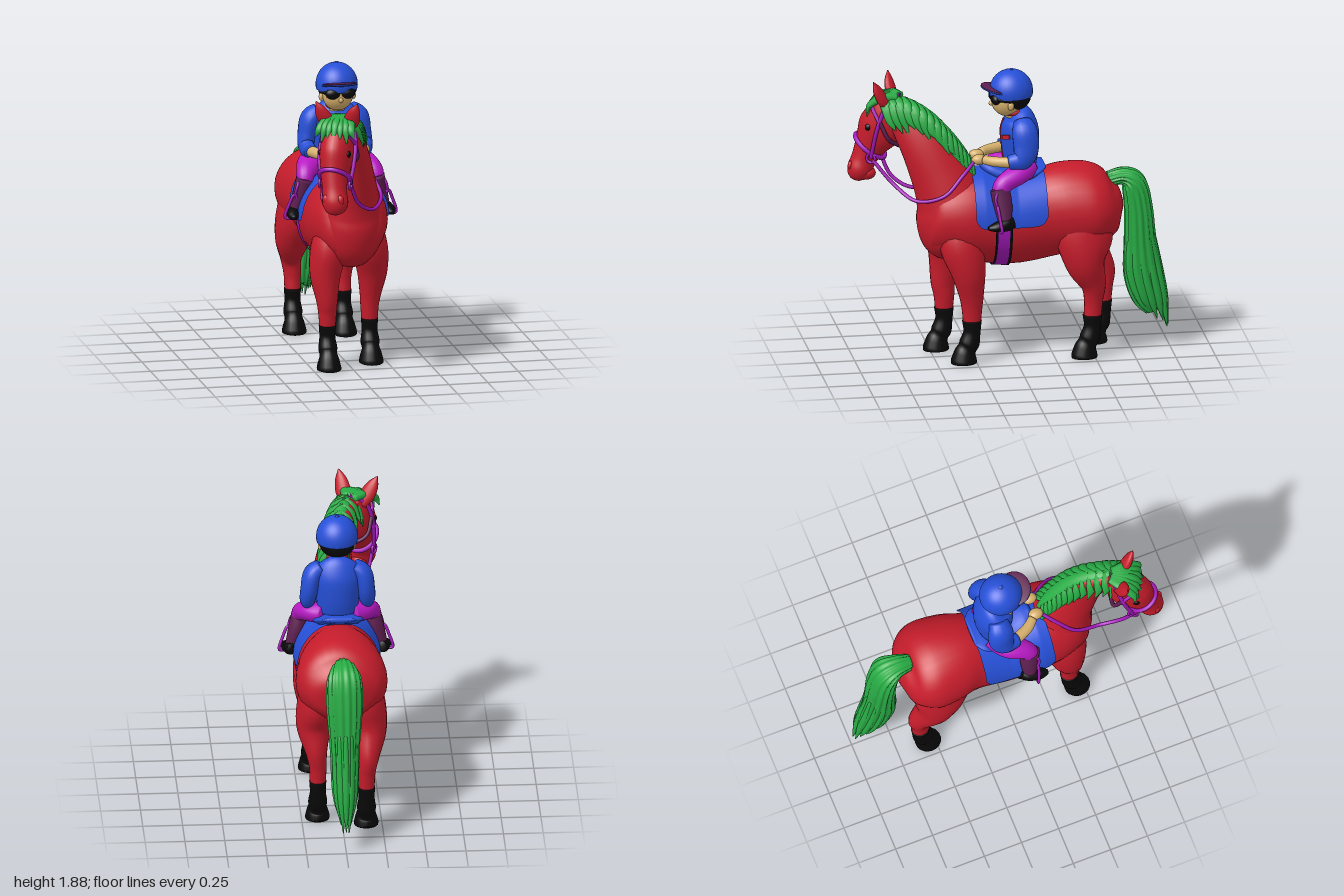
import * as THREE from 'three';
import { ParametricGeometry } from 'three/addons/geometries/ParametricGeometry.js';

const V = (a) => new THREE.Vector3(a[0], a[1], a[2]);
const mat = (name, color, side = THREE.FrontSide) => {
  const m = new THREE.MeshStandardMaterial({ color, side });
  m.name = name;
  return m;
};
const M = {
  coat: mat('red coat', 0xc51c2b),
  hair: mat('green hair', 0x28ac45),
  black: mat('black', 0x080808, THREE.DoubleSide),
  blue: mat('blue cloth', 0x2650d8, THREE.DoubleSide),
  strap: mat('purple strap', 0xa419ba, THREE.DoubleSide),
  pants: mat('magenta cloth', 0xb81ac4),
  plum: mat('plum leather', 0x5e1f50),
  skin: mat('tan skin', 0xd6b06c),
};

// Smooth skin over elliptical sections [x, y, z, half width, half depth]
function loft(pts, { seg = 18, steps = pts.length * 5, ripple = () => 1 } = {}) {
  const path = new THREE.CatmullRomCurve3(pts.map(V), false, 'catmullrom', 0.5);
  const size = new THREE.CatmullRomCurve3(pts.map((p) => new THREE.Vector3(p[3], p[4], 0)), false, 'catmullrom', 0.5);
  const pos = [], idx = [];
  for (let i = 0; i <= steps; i++) {
    const t = i / steps, c = path.getPoint(t), r = size.getPoint(t), T = path.getTangent(t);
    const S = new THREE.Vector3(1, 0, 0).addScaledVector(T, -T.x).normalize();
    const U = new THREE.Vector3().crossVectors(T, S);
    for (let j = 0; j < seg; j++) {
      const a = (j / seg) * Math.PI * 2, k = ripple(a, t);
      const p = c.clone().addScaledVector(S, Math.cos(a) * Math.max(r.x, 0.002) * k)
        .addScaledVector(U, Math.sin(a) * Math.max(r.y, 0.002) * k);
      pos.push(p.x, p.y, p.z);
      if (i < steps) {
        const a0 = i * seg + j, b0 = i * seg + ((j + 1) % seg);
        idx.push(a0, b0, a0 + seg, b0, b0 + seg, a0 + seg);
      }
    }
  }
  const n = (steps + 1) * seg, first = path.getPoint(0), last = path.getPoint(1);
  pos.push(first.x, first.y, first.z, last.x, last.y, last.z);
  for (let j = 0; j < seg; j++) {
    const k = (j + 1) % seg;
    idx.push(n, k, j, n + 1, steps * seg + j, steps * seg + k);
  }
  const g = new THREE.BufferGeometry();
  g.setAttribute('position', new THREE.Float32BufferAttribute(pos, 3));
  g.setIndex(idx);
  g.computeVertexNormals();
  return g;
}
const tube = (pts, r = 0.012, closed = false) =>
  new THREE.TubeGeometry(new THREE.CatmullRomCurve3(pts.map(V), closed), pts.length * 8, r, 8, closed);
const flip = (pts, s) => pts.map(([x, ...rest]) => [x * s, ...rest]);

function add(parent, name, geo, material) {
  const m = new THREE.Mesh(geo, material);
  m.name = name;
  parent.add(m);
  return m;
}
function ball(parent, name, material, p, s) {
  const m = add(parent, name, new THREE.SphereGeometry(1, 24, 16), material);
  m.position.set(...p);
  m.scale.set(...s);
  return m;
}

// Barrel sections: z, belly height, back height, half width
const BARREL = [[0.57, 0.84, 0.98, 0.05], [0.54, 0.75, 1.06, 0.15], [0.48, 0.68, 1.13, 0.205], [0.35, 0.65, 1.2, 0.252],
  [0.2, 0.62, 1.21, 0.262], [0, 0.6, 1.17, 0.252], [-0.2, 0.63, 1.2, 0.238], [-0.35, 0.66, 1.235, 0.274],
  [-0.5, 0.68, 1.22, 0.287], [-0.6, 0.74, 1.16, 0.245], [-0.66, 0.82, 1.09, 0.17], [-0.695, 0.91, 1.0, 0.06]];
function barrelAt(z) {
  const i = BARREL.findIndex((b, k) => z <= b[0] && z >= BARREL[k + 1][0]);
  const a = BARREL[i], b = BARREL[i + 1], f = (a[0] - z) / (a[0] - b[0]);
  const [lo, hi, w] = [1, 2, 3].map((k) => a[k] + (b[k] - a[k]) * f);
  return { y: (lo + hi) / 2, h: (hi - lo) / 2, w };
}
// Cloth following the barrel between two angles measured from the top
const wrap = (z0, z1, off, from, to) => new ParametricGeometry((u, v, out) => {
  const z = z0 + (z1 - z0) * u, b = barrelAt(z), a0 = from(u, b), a = a0 + (to(u, b) - a0) * v;
  out.set((b.w + off) * Math.sin(a), b.y + (b.h + off) * Math.cos(a), z);
}, 24, 40);

function addHorse(g) {
  add(g, 'body', loft(BARREL.map(([z, lo, hi, w]) => [0, (lo + hi) / 2, z, w, (hi - lo) / 2]), { seg: 32 }), M.coat);
  // Neck running down into a full chest
  add(g, 'neck', loft([[0, 0.7, 0.32, 0.13, 0.17], [0, 0.8, 0.345, 0.2, 0.235], [0, 0.92, 0.36, 0.215, 0.25], [0, 1.04, 0.385, 0.2, 0.228],
    [0, 1.18, 0.44, 0.158, 0.2], [-0.015, 1.38, 0.54, 0.108, 0.165], [-0.065, 1.53, 0.64, 0.085, 0.13], [-0.13, 1.61, 0.74, 0.07, 0.09]], { seg: 32 }), M.coat);

  // Legs, standing slightly staggered
  const front = [[0.09, 0.92, 0.36, 0.1, 0.12], [0.135, 0.76, 0.34, 0.115, 0.14], [0.16, 0.6, 0.305, 0.098, 0.11],
    [0.155, 0.45, 0.285, 0.07, 0.08], [0.15, 0.36, 0.28, 0.058, 0.066], [0.15, 0.26, 0.28, 0.05, 0.056]];
  const hind = [[0.1, 1.02, -0.43, 0.12, 0.16], [0.15, 0.8, -0.43, 0.125, 0.185], [0.17, 0.63, -0.435, 0.112, 0.13],
    [0.16, 0.48, -0.488, 0.07, 0.082], [0.15, 0.37, -0.492, 0.055, 0.06], [0.15, 0.26, -0.485, 0.05, 0.056]];
  const sock = [[0.15, 0.275, 0, 0.054, 0.062], [0.15, 0.2, 0, 0.05, 0.054], [0.15, 0.13, 0.015, 0.06, 0.064],
    [0.15, 0.095, 0.03, 0.055, 0.06], [0.15, 0.06, 0.044, 0.066, 0.07], [0.15, 0.015, 0.05, 0.077, 0.082], [0.15, 0, 0.05, 0.076, 0.081]];
  for (const [name, leg, s, dz] of [['frontLeg', front, 1, 0], ['frontLeg', front, -1, 0.13], ['hindLeg', hind, 1, 0], ['hindLeg', hind, -1, -0.11]]) {
    const shift = (p) => [p[0], p[1], p[2] + dz * Math.min(1, Math.max(0, (0.9 - p[1]) / 0.43)), p[3], p[4]];
    add(g, name, loft(flip(leg.map(shift), s)), M.coat);
    const z = leg[5][2];
    add(g, name + 'Sock', loft(flip(sock.map((p) => shift([p[0], p[1], p[2] + z, p[3], p[4]])), s)), M.black);
  }

  // Tail: grooved mass ending in loose locks, longest at the back
  add(g, 'tail', loft([[0, 1.11, -0.61, 0.05, 0.05], [0, 1.13, -0.7, 0.075, 0.052], [0, 1.08, -0.77, 0.105, 0.075],
    [0, 0.92, -0.8, 0.108, 0.085], [0, 0.7, -0.812, 0.092, 0.098], [0, 0.5, -0.83, 0.082, 0.118], [0, 0.34, -0.865, 0.07, 0.105],
    [0, 0.24, -0.905, 0.035, 0.06]], { seg: 72, ripple: (a, t) => 1 + 0.07 * Math.sin(a * 14 + t * 3) }), M.hair);
  for (let i = 0; i < 12; i++) {
    const a = (i / 12) * Math.PI * 2, c = Math.cos(a), s = Math.sin(a);
    add(g, 'tailLock', loft([[c * 0.065, 0.75, -0.812 + s * 0.075, 0.02, 0.02], [c * 0.064, 0.52, -0.83 + s * 0.1, 0.026, 0.026],
      [c * 0.054, 0.33, -0.875 + s * 0.088, 0.024, 0.026], [c * 0.035, 0.19 + s * 0.07 + (i % 2) * 0.02, -0.915 + s * 0.075, 0.003, 0.003]], { seg: 8 }), M.hair);
  }

  // Mane: crest with overlapping locks on both sides, fuller on the left
  const crest = [[-0.125, 1.65, 0.78, 0.04, 0.03], [-0.08, 1.655, 0.66, 0.045, 0.03], [-0.03, 1.585, 0.53, 0.045, 0.03],
    [-0.005, 1.475, 0.42, 0.045, 0.03], [0, 1.36, 0.33, 0.04, 0.028], [0, 1.26, 0.26, 0.015, 0.015]];
  add(g, 'maneCrest', loft(crest), M.hair);
  const line = new THREE.CatmullRomCurve3(crest.map(V));
  for (let i = 0; i < 15; i++) for (const s of [1, -1]) {
    const p = line.getPoint(i / 15), k = (1 - 0.35 * (i / 15)) * (s > 0 ? 1.12 : 0.95), d = (i % 3) * 0.02;
    add(g, 'maneLock', loft([[p.x - s * 0.01, p.y + 0.02, p.z + 0.03, 0.018, 0.03], [p.x + s * 0.06 * k, p.y - 0.012, p.z + 0.008, 0.022, 0.038],
      [p.x + s * 0.1 * k, p.y - 0.08 * k, p.z - 0.008, 0.014, 0.028], [p.x + s * 0.118 * k, p.y - (0.135 + d) * k, p.z - 0.04, 0.003, 0.003]],
    { seg: 8, steps: 10 }), M.hair);
  }
}

function addHead(g) {
  const h = new THREE.Group();
  h.name = 'head';
  h.position.set(-0.13, 1.6, 0.72);
  h.rotation.y = -0.5;
  g.add(h);
  add(h, 'skull', loft([[0, 0.07, -0.02, 0.05, 0.05], [0, 0, 0.04, 0.095, 0.11], [0, -0.13, 0.1, 0.105, 0.145], [0.005, -0.25, 0.165, 0.085, 0.102],
    [0.017, -0.34, 0.205, 0.076, 0.08], [0.027, -0.41, 0.228, 0.082, 0.08], [0.028, -0.46, 0.238, 0.06, 0.06], [0.028, -0.482, 0.24, 0.025, 0.025]], { seg: 28 }), M.coat);
  ball(h, 'chin', M.coat, [0.026, -0.43, 0.19], [0.055, 0.045, 0.065]);
  for (const s of [1, -1]) {
    add(h, 'ear', loft(flip([[0.062, 0.02, 0.03, 0.03, 0.03], [0.085, 0.085, 0.06, 0.05, 0.032], [0.112, 0.15, 0.085, 0.038, 0.024],
      [0.135, 0.205, 0.1, 0.003, 0.003]], s)), M.coat);
    ball(h, 'eye', M.black, [s * 0.09, -0.11, 0.15], [0.016, 0.022, 0.022]);
    ball(h, 'nostril', M.coat, [0.027 + s * 0.045, -0.38, 0.273], [0.026, 0.032, 0.018]);
    add(h, 'cheekStrap', tube(flip([[0.095, -0.31, 0.13], [0.112, -0.18, 0.1], [0.114, -0.07, 0.07], [0.085, 0.04, 0.03], [0, 0.1, -0.02]], s), 0.013), M.strap);
    add(h, 'browBand', tube(flip([[0.114, -0.06, 0.07], [0.075, 0.01, 0.125], [0, 0.045, 0.142]], s)), M.strap);
    add(h, 'throatStrap', tube(flip([[0.114, -0.06, 0.065], [0.104, -0.17, 0.01], [0, -0.24, -0.03]], s), 0.013), M.plum);
    const ring = add(h, 'bitRing', new THREE.TorusGeometry(0.028, 0.009, 8, 20), M.strap);
    ring.position.set(s * 0.098, -0.31, 0.13);
    ring.rotation.y = Math.PI / 2;
  }
  // Noseband tilted around the muzzle
  const band = [];
  for (let i = 0; i < 16; i++) {
    const a = (i / 16) * Math.PI * 2, k = Math.sin(a) * 0.112;
    band.push([0.005 + Math.cos(a) * 0.095, -0.255 + k * 0.6, 0.168 + k * 0.82]);
  }
  add(h, 'noseBand', tube(band, 0.015, true), M.strap);
  // Forelock lying over the forehead
  for (let i = -3; i <= 3; i++) {
    const x = i * 0.028;
    add(h, 'forelock', loft([[x * 0.3, 0.085, -0.02, 0.03, 0.025], [x * 0.8, 0.088, 0.06, 0.034, 0.026],
      [x * 1.2, 0.06 - Math.abs(i) * 0.006, 0.135, 0.028, 0.02], [x * 1.5, -0.04 + (i & 1) * 0.03, 0.19 - Math.abs(i) * 0.014, 0.004, 0.004]], { seg: 8 }), M.hair);
  }
  add(g, 'leftRein', tube([[-0.1, 1.28, 0.87], [-0.02, 1.13, 0.74], [0.1, 1.06, 0.62], [0.185, 1.11, 0.46], [0.14, 1.22, 0.34], [0.05, 1.3, 0.24]]), M.strap);
  add(g, 'rightRein', tube([[-0.27, 1.28, 0.8], [-0.23, 1.13, 0.73], [-0.19, 1.06, 0.6], [-0.19, 1.12, 0.44], [-0.14, 1.22, 0.34], [-0.05, 1.3, 0.24]]), M.strap);
}

function addTack(g) {
  // Pad hem drops to a set height with rounded corners
  const hem = (u, b) => Math.acos(Math.min(1, (0.905 + 0.06 * Math.pow(Math.abs(2 * u - 1), 10) - b.y) / (b.h + 0.02)));
  add(g, 'saddlePad', wrap(0.27, -0.19, 0.022, (u, b) => -hem(u, b), hem), M.blue);
  add(g, 'saddleSeat', loft([[0, 1.26, 0.2, 0.04, 0.02], [0, 1.235, 0.15, 0.1, 0.04], [0, 1.2, 0.05, 0.14, 0.05],
    [0, 1.2, -0.07, 0.16, 0.05], [0, 1.225, -0.15, 0.15, 0.03], [0, 1.245, -0.2, 0.1, 0.012]]), M.blue);
  const girth = (z0, z1) => wrap(z0, z1, 0.014, () => 1.4, () => Math.PI * 2 - 1.4);
  add(g, 'girth', girth(0.13, 0.055), M.strap);
  add(g, 'girthEdge', girth(0.145, 0.13), M.black);
  add(g, 'girthEdge', girth(0.055, 0.038), M.black);
  for (const s of [1, -1]) {
    add(g, 'stirrup', tube(flip([[0.25, 0.91, 0.13], [0.305, 0.905, 0.13], [0.355, 0.91, 0.12], [0.335, 0.99, 0.13], [0.3, 1.06, 0.14], [0.265, 0.99, 0.13]], s), 0.01, true), M.strap);
    add(g, 'stirrupLeather', tube(flip([[0.3, 1.05, 0.14], [0.285, 1.11, 0.15], [0.25, 1.18, 0.11]], s), 0.009), M.strap);
  }
}

function addRider(g) {
  add(g, 'jacket', loft([[0, 1.25, -0.05, 0.13, 0.1], [0, 1.35, -0.05, 0.135, 0.116], [0, 1.48, -0.045, 0.15, 0.12],
    [0, 1.56, -0.04, 0.125, 0.092], [0, 1.6, -0.02, 0.05, 0.05]], { seg: 28 }), M.blue);
  add(g, 'zip', tube([[0, 1.28, 0.058], [0, 1.4, 0.069], [0, 1.48, 0.075], [0, 1.55, 0.055]], 0.006), M.coat);
  const pocket = add(g, 'pocket', new THREE.BoxGeometry(0.07, 0.026, 0.009), M.coat);
  pocket.position.set(0.09, 1.45, 0.054);
  pocket.rotation.set(0, 0.55, 0.25);
  const collar = add(g, 'collar', new THREE.TorusGeometry(0.055, 0.014, 8, 24), M.coat);
  collar.position.set(0, 1.592, -0.005);
  collar.rotation.x = Math.PI / 2 + 0.15;
  add(g, 'neckSkin', new THREE.CylinderGeometry(0.05, 0.05, 0.08, 20), M.skin).position.set(0, 1.6, 0);
  for (const s of [1, -1]) {
    add(g, 'sleeve', loft(flip([[0.1, 1.55, -0.05, 0.05, 0.06], [0.155, 1.5, -0.055, 0.062, 0.08], [0.178, 1.4, -0.06, 0.056, 0.08],
      [0.187, 1.325, -0.03, 0.05, 0.066], [0.175, 1.31, 0.05, 0.043, 0.045]], s)), M.blue);
    add(g, 'forearm', loft(flip([[0.178, 1.308, 0.02, 0.036, 0.036], [0.13, 1.305, 0.13, 0.034, 0.032], [0.08, 1.305, 0.19, 0.029, 0.028]], s)), M.skin);
    ball(g, 'hand', M.skin, [s * 0.055, 1.3, 0.22], [0.037, 0.033, 0.047]);
    add(g, 'thigh', loft(flip([[0.07, 1.24, -0.08, 0.08, 0.07], [0.16, 1.225, -0.01, 0.085, 0.065], [0.215, 1.185, 0.085, 0.062, 0.06],
      [0.232, 1.13, 0.115, 0.05, 0.055]], s)), M.pants);
    add(g, 'boot', loft(flip([[0.228, 1.155, 0.115, 0.054, 0.062], [0.25, 1.06, 0.1, 0.052, 0.06], [0.285, 0.95, 0.09, 0.038, 0.042]], s)), M.plum);
    add(g, 'shoe', loft(flip([[0.285, 0.95, 0.035, 0.025, 0.035], [0.295, 0.94, 0.08, 0.04, 0.042], [0.308, 0.93, 0.15, 0.04, 0.03], [0.315, 0.925, 0.2, 0.015, 0.012]], s)), M.black);
    ball(g, 'riderEar', M.skin, [s * 0.105, 1.655, 0.025], [0.014, 0.026, 0.02]);
    ball(g, 'lens', M.black, [s * 0.046, 1.69, 0.112], [0.05, 0.036, 0.032]);
    add(g, 'glassesArm', tube(flip([[0.075, 1.695, 0.11], [0.1, 1.695, 0.07], [0.108, 1.69, 0.02]], s), 0.014), M.black);
  }
  ball(g, 'face', M.skin, [0, 1.665, 0.035], [0.097, 0.1, 0.098]);
  ball(g, 'nose', M.skin, [0, 1.65, 0.134], [0.014, 0.016, 0.016]);
  ball(g, 'riderHair', M.black, [0, 1.69, -0.015], [0.112, 0.086, 0.102]);
  const dome = add(g, 'helmet', new THREE.SphereGeometry(0.132, 32, 16, 0, Math.PI * 2, 0, Math.PI * 0.57), M.blue);
  dome.position.set(0, 1.728, 0.007);
  dome.scale.set(1, 1.05, 1.04);
  ball(g, 'helmetButton', M.blue, [0, 1.867, 0.005], [0.014, 0.006, 0.014]);
  // Brim: plum on top, blue beneath
  ball(g, 'brimTop', M.plum, [0, 1.749, 0.1], [0.112, 0.009, 0.1]).rotation.x = -0.2;
  ball(g, 'brimUnderside', M.blue, [0, 1.741, 0.1], [0.115, 0.011, 0.102]).rotation.x = -0.2;
}

export function createModel() {
  const g = new THREE.Group();
  g.name = 'horseAndRider';
  [addHorse, addHead, addTack, addRider].forEach((build) => build(g));
  return g;
}
